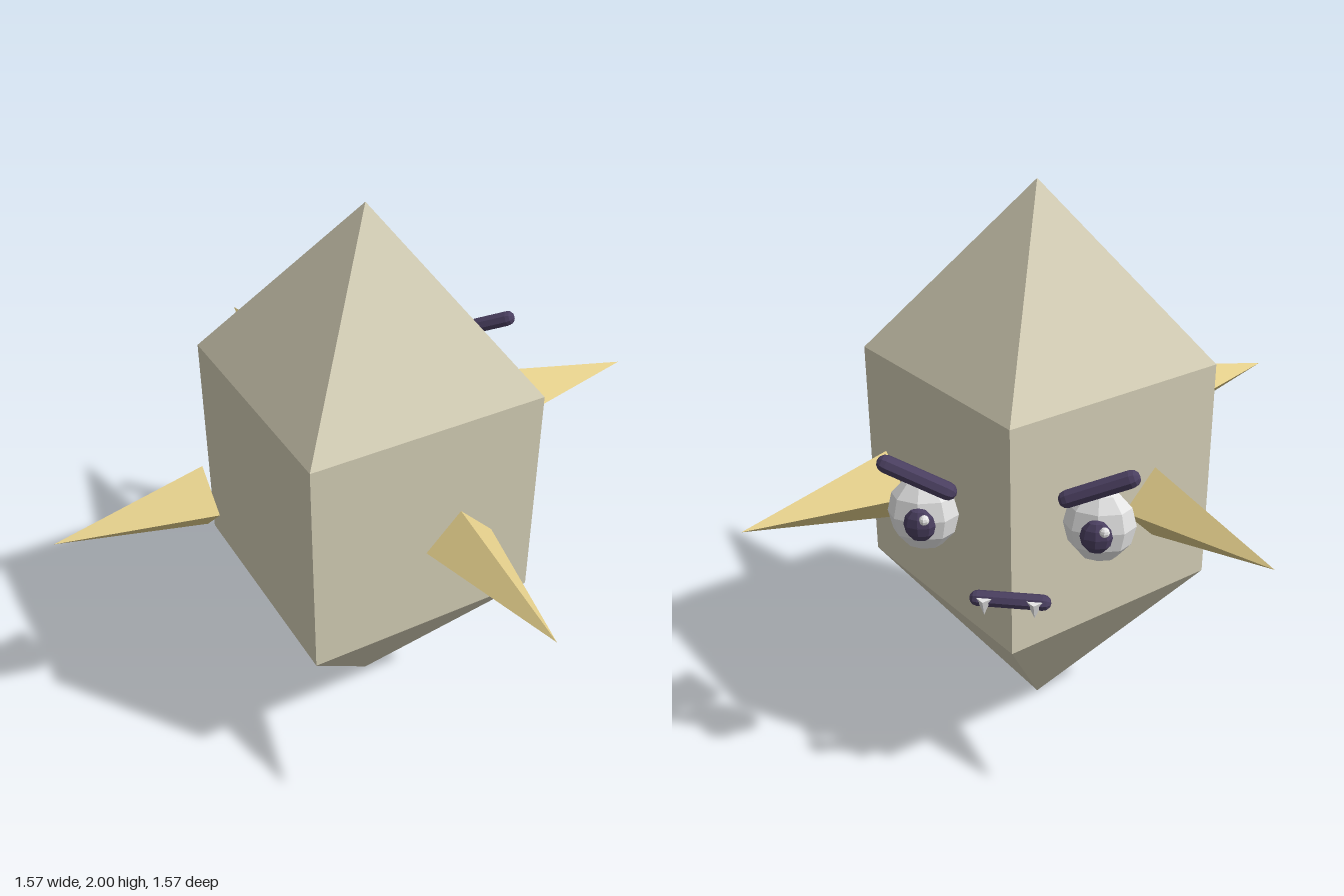
import * as THREE from 'three';

const mat = (name, color) => new THREE.MeshStandardMaterial({ name, color, flatShading: true });

export function createModel() {
  const stone = mat('pale stone', 0xd2ccb4);
  const gold = mat('sand gold', 0xe2cd8a);
  const white = mat('white', 0xf0f0f0);
  const dark = mat('dark violet', 0x4a3f60);

  const group = new THREE.Group();
  const add = (name, geometry, material, x, y, z) => {
    const mesh = new THREE.Mesh(geometry, material);
    mesh.name = name;
    mesh.position.set(x, y, z);
    group.add(mesh);
    return mesh;
  };

  // Four-sided crystal body with pointed ends
  const profile = [[0, 0], [0.6, 0.6], [0.6, 1.4], [0, 2]].map(([r, y]) => new THREE.Vector2(r, y));
  add('body', new THREE.LatheGeometry(profile, 4), stone, 0, 0, 0);

  // Floating spikes pointing out along the diagonals
  const spikeGeo = new THREE.ConeGeometry(0.12, 0.51, 4).rotateX(Math.PI / 2);
  for (const sx of [-1, 1]) {
    for (const sz of [-1, 1]) {
      const spike = add('spike', spikeGeo, gold, sx * 0.606, 1.1, sz * 0.606);
      spike.rotation.y = Math.atan2(sx, sz);
    }
  }

  // Eyes, brows and fangs on the rear corner
  const ball = new THREE.SphereGeometry(1, 8, 6);
  const browGeo = new THREE.CapsuleGeometry(0.029, 0.2, 3, 8).rotateZ(Math.PI / 2);
  const fangGeo = new THREE.ConeGeometry(0.025, 0.06, 4).rotateX(Math.PI);
  for (const s of [-1, 1]) {
    add('eye', ball, white, s * 0.272, 1.105, -0.6).scale.set(0.112, 0.125, 0.075);
    add('pupil', ball, dark, s * 0.268, 1.1, -0.67).scale.set(0.05, 0.056, 0.03);
    add('eyeGlint', ball, white, s * 0.27 - 0.025, 1.135, -0.702).scale.setScalar(0.016);
    add('brow', browGeo, dark, s * 0.272, 1.255, -0.658).rotation.z = s * 0.4;
    add('fang', fangGeo, white, s * 0.08, 0.808, -0.648);
  }

  // Straight mouth bar
  const mouthGeo = new THREE.CapsuleGeometry(0.026, 0.208, 3, 8).rotateZ(Math.PI / 2);
  add('mouth', mouthGeo, dark, 0, 0.825, -0.627);

  return group;
}
